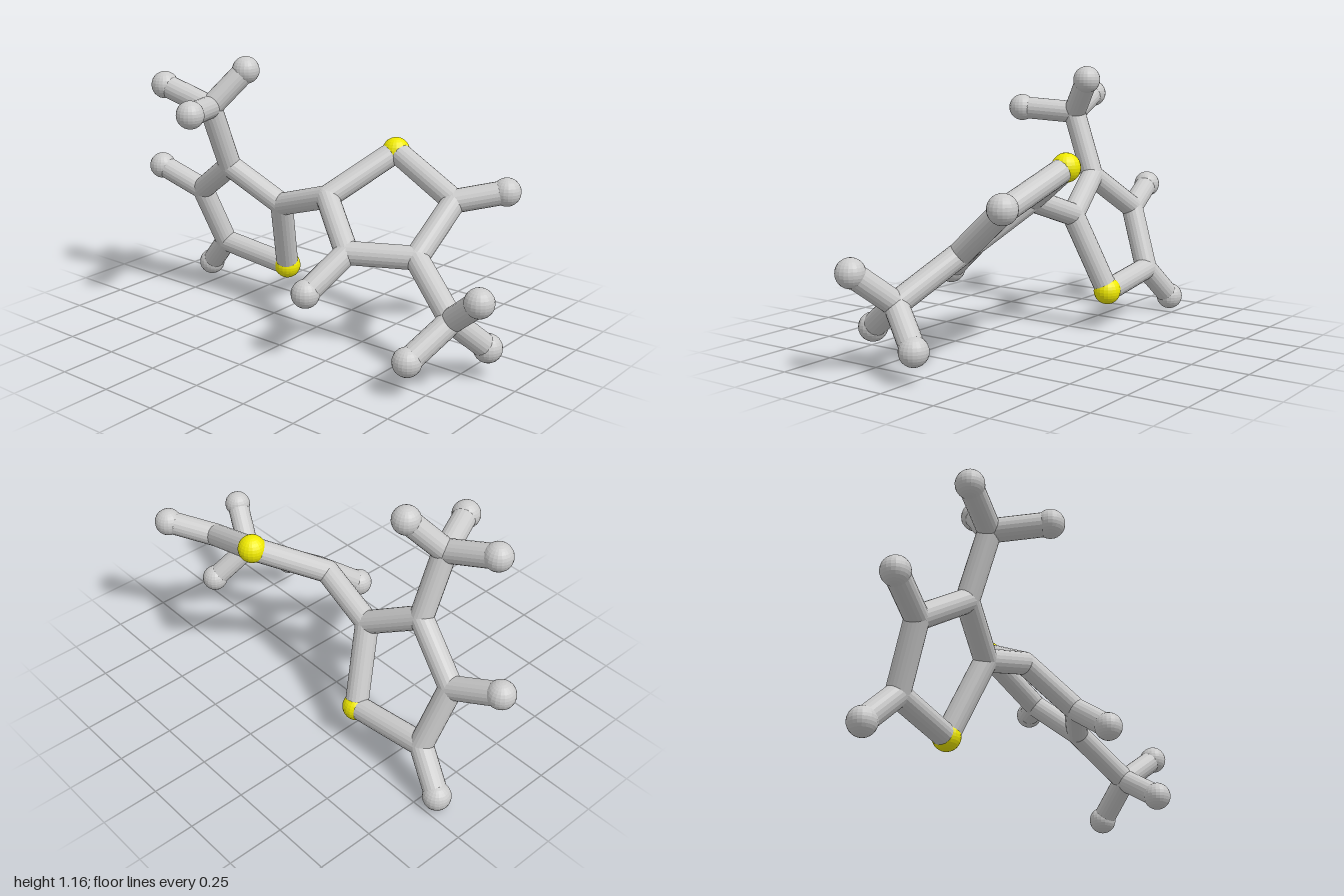
import * as THREE from 'three';

const BOND_R = 0.05;
const BALL_R = 0.06;

// Joint positions: the first letter gives the kind (c = plain joint, h = end ball, s = yellow ball)
const joints = {
  // left ring and its methyl branch
  c1: [-0.23, 0.515, -0.035], c2: [-0.48, 0.66, 0.025], c3: [-0.725, 0.49, -0.045],
  c4: [-0.68, 0.215, -0.15], s1: [-0.31, 0.175, -0.165], c5: [-0.49, 0.945, 0.13],
  h1: [-0.94, 0.575, 0], h2: [-0.825, 0.063, -0.197],
  h3: [-0.72, 1.02, 0.175], h4: [-0.395, 1.1, 0.003], h5: [-0.39, 0.965, 0.353],
  // right ring and its methyl branch
  c6: [0.05, 0.61, -0.008], s2: [0.205, 0.78, -0.285], c7: [0.548, 0.638, -0.222],
  c8: [0.522, 0.448, 0.005], c9: [0.262, 0.445, 0.128], c10: [0.773, 0.28, 0.12],
  h6: [0.718, 0.68, -0.35], h7: [0.195, 0.305, 0.312],
  h8: [0.94, 0.42, 0.195], h9: [0.85, 0.133, -0.033], h10: [0.698, 0.15, 0.308],
};

const bonds = [
  // left ring and branches
  ['c1', 'c2'], ['c2', 'c3'], ['c3', 'c4'], ['c4', 's1'], ['s1', 'c1'], ['c2', 'c5'],
  ['c3', 'h1'], ['c4', 'h2'], ['c5', 'h3'], ['c5', 'h4'], ['c5', 'h5'],
  // link between the rings
  ['c1', 'c6'],
  // right ring and branches
  ['c6', 's2'], ['s2', 'c7'], ['c7', 'c8'], ['c8', 'c9'], ['c9', 'c6'], ['c8', 'c10'],
  ['c7', 'h6'], ['c9', 'h7'], ['c10', 'h8'], ['c10', 'h9'], ['c10', 'h10'],
];

export function createModel() {
  const group = new THREE.Group();
  const grey = new THREE.MeshStandardMaterial({ color: 0xcccccc, flatShading: true });
  const yellow = new THREE.MeshStandardMaterial({ color: 0xf0ea00, flatShading: true });

  const ballGeo = new THREE.SphereGeometry(BALL_R, 20, 14);
  const kinds = {
    c: { name: 'carbonJoint', geo: new THREE.SphereGeometry(BOND_R, 20, 14), mat: grey },
    h: { name: 'hydrogenBall', geo: ballGeo, mat: grey },
    s: { name: 'sulfurBall', geo: ballGeo, mat: yellow },
  };

  // atoms
  for (const [key, p] of Object.entries(joints)) {
    const { name, geo, mat } = kinds[key[0]];
    const ball = new THREE.Mesh(geo, mat);
    ball.name = name;
    ball.position.set(...p);
    group.add(ball);
  }

  // bonds: a rod between two joints
  const up = new THREE.Vector3(0, 1, 0);
  for (const pair of bonds) {
    const [a, b] = pair.map((key) => new THREE.Vector3(...joints[key]));
    const dir = b.clone().sub(a);
    const rod = new THREE.CylinderGeometry(BOND_R, BOND_R, dir.length(), 20, 1, true);
    const mesh = new THREE.Mesh(rod, grey);
    mesh.name = 'bond';
    mesh.position.copy(a).add(b).multiplyScalar(0.5);
    mesh.quaternion.setFromUnitVectors(up, dir.normalize());
    group.add(mesh);
  }
  return group;
}
